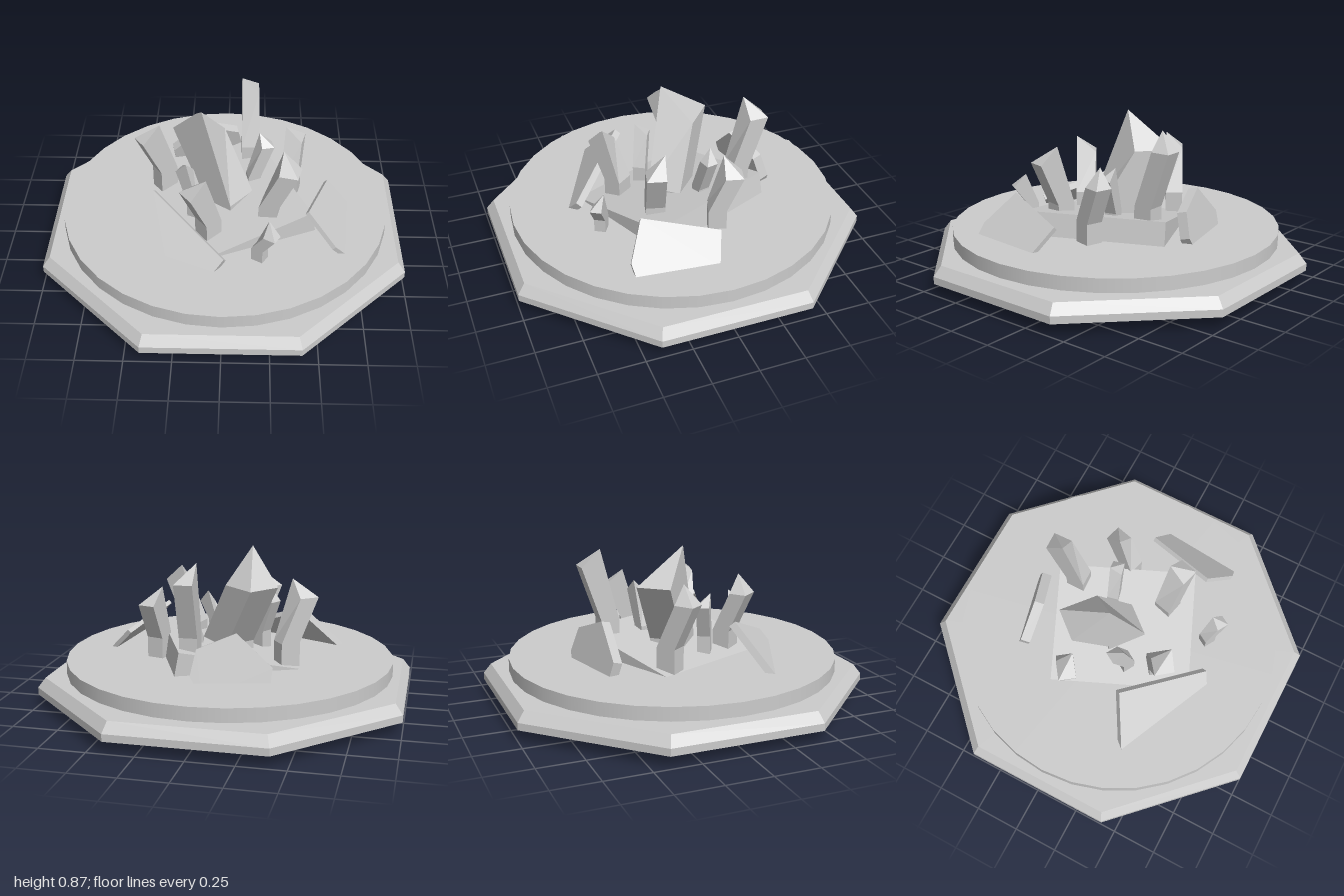
import * as THREE from 'three';

const material = new THREE.MeshStandardMaterial({ color: 0xcccccc, flatShading: true, side: THREE.DoubleSide });
const smooth = new THREE.MeshStandardMaterial({ color: 0xcccccc });

// Square column that rises straight to a knee, then leans, with one corner of its cap pulled up.
// cap: centre of the cap [x, z]; shift: offset from the cap back to the foot; y: [bottom, knee, top, peak]
function crystal({ cap, shift, size, y }) {
  const [bottom, knee, top, peak] = y;
  const dist = Math.hypot(...shift);
  const u = [-shift[0] / dist, -shift[1] / dist];
  const v = [u[1], -u[0]];
  const signs = [[1, 1], [-1, 1], [-1, -1], [1, -1]];
  const ring = (cx, cz, height) => signs.map(([a, b]) => new THREE.Vector3(
    cx + (a * u[0] * size[0] + b * v[0] * size[1]) / 2, height,
    cz + (a * u[1] * size[0] + b * v[1] * size[1]) / 2));
  const foot = [cap[0] + shift[0], cap[1] + shift[1]];
  const rings = [ring(...foot, bottom), ring(...foot, knee), ring(...cap, top)];
  rings[2][1].y = peak;

  const tris = [];
  for (let k = 0; k < 2; k++) {
    const lo = rings[k], hi = rings[k + 1];
    for (let i = 0; i < 4; i++) {
      const j = (i + 1) % 4;
      tris.push(lo[i], lo[j], hi[j], lo[i], hi[j], hi[i]);
    }
  }
  const [a, b, c, d] = rings[2];
  tris.push(b, c, d, b, d, a);
  const [e, f, g, h] = rings[0];
  tris.push(e, g, f, e, h, g);
  const geometry = new THREE.BufferGeometry().setFromPoints(tris);
  geometry.computeVertexNormals();
  return geometry;
}

// Flat broken slab: an outline of points in space, thickened downwards from its upper face
function shard(points, thickness) {
  const p = points.map((q) => new THREE.Vector3(...q));
  const centre = p.reduce((sum, q) => sum.add(q), new THREE.Vector3()).divideScalar(p.length);
  const n = new THREE.Vector3();
  p.forEach((q, i) => n.add(q.clone().sub(centre).cross(p[(i + 1) % p.length].clone().sub(centre))));
  n.normalize();
  if (n.y < 0) n.negate();
  const e1 = p[1].clone().sub(p[0]).projectOnPlane(n).normalize();
  const e2 = n.clone().cross(e1);
  const outline = p.map((q) => {
    const r = q.clone().sub(centre);
    return new THREE.Vector2(r.dot(e1), r.dot(e2));
  });
  const geometry = new THREE.ExtrudeGeometry(new THREE.Shape(outline), { depth: thickness, bevelEnabled: false });
  geometry.translate(0, 0, -thickness);
  geometry.applyMatrix4(new THREE.Matrix4().makeBasis(e1, e2, n).setPosition(centre));
  return geometry;
}

export function createModel() {
  const model = new THREE.Group();
  const add = (name, geometry, mat = material) => {
    const mesh = new THREE.Mesh(geometry, mat);
    mesh.name = name;
    model.add(mesh);
    return mesh;
  };

  // Octagonal plinth, a bevelled shell open underneath
  const R = 1 / Math.cos(Math.PI / 8);
  const profile = [[R, 0.05], [R, 0.09], [R * 0.96, 0.145], [0, 0.145]].map((q) => new THREE.Vector2(...q));
  add('octagonalBase', new THREE.LatheGeometry(profile, 8, Math.PI / 8));

  // Round platform
  add('roundPlatform', new THREE.CylinderGeometry(0.92, 0.92, 0.075, 32), smooth).position.y = 0.1975;

  // Tilted rock plate under the crystals
  const plate = add('rockPlate', new THREE.BoxGeometry(0.68, 0.16, 0.79));
  plate.position.set(0.034, 0.22, 0.014);
  plate.rotation.set(0, 0.41, 0.19, 'YXZ');

  // Crystals
  const crystals = {
    mainCrystal: { cap: [-0.15, -0.13], shift: [0.16, 0.135], size: [0.22, 0.19], y: [0.16, 0.32, 0.66, 0.86] },
    backCrystal: { cap: [0.139, -0.444], shift: [0.003, 0.107], size: [0.107, 0.1], y: [0.16, 0.42, 0.73, 0.83] },
    rightCrystal: { cap: [0.4, -0.21], shift: [-0.022, 0.085], size: [0.1, 0.095], y: [0.035, 0.35, 0.55, 0.645] },
    frontRightCrystal: { cap: [0.357, 0.213], shift: [-0.105, -0.027], size: [0.105, 0.105], y: [0.1, 0.37, 0.61, 0.705] },
    leftCrystal: { cap: [-0.44, -0.088], shift: [0.088, -0.065], size: [0.11, 0.095], y: [0.1, 0.37, 0.61, 0.705] },
    frontLeftCrystal: { cap: [-0.165, 0.355], shift: [0.08, -0.062], size: [0.1, 0.11], y: [0.06, 0.35, 0.57, 0.665] },
    innerRightCrystal: { cap: [0.235, -0.133], shift: [-0.073, 0.017], size: [0.072, 0.066], y: [0.16, 0.35, 0.545, 0.61] },
    innerLeftCrystal: { cap: [-0.222, 0.094], shift: [0.06, 0.036], size: [0.07, 0.072], y: [0.16, 0.35, 0.53, 0.6] },
    smallFrontCrystal: { cap: [0.257, 0.512], shift: [-0.062, -0.037], size: [0.07, 0.062], y: [0.06, 0.31, 0.41, 0.485] },
  };
  for (const [name, def] of Object.entries(crystals)) add(name, crystal(def));

  // Broken slabs leaning in around the cluster
  add('frontLeftShard', shard([
    [-0.385, 0.47, 0.2], [-0.62, 0.23, 0.345], [-0.575, 0.145, 0.46], [-0.24, 0.002, 0.71], [0, 0.3, 0.57],
  ], 0.04));
  add('rightShard', shard([
    [0.45, 0.437, 0.335], [0.61, 0.29, 0.44], [0.68, 0.22, 0.43], [0.77, 0.14, 0.15], [0.715, 0.22, -0.01], [0.59, 0.36, -0.065],
  ], 0.025));
  add('backShard', shard([
    [-0.33, 0.31, -0.46], [-0.14, 0.485, -0.465], [0.06, 0.405, -0.53], [0.085, 0.27, -0.57], [0.02, 0.16, -0.585], [-0.32, 0.18, -0.5],
  ], 0.055));

  return model;
}
